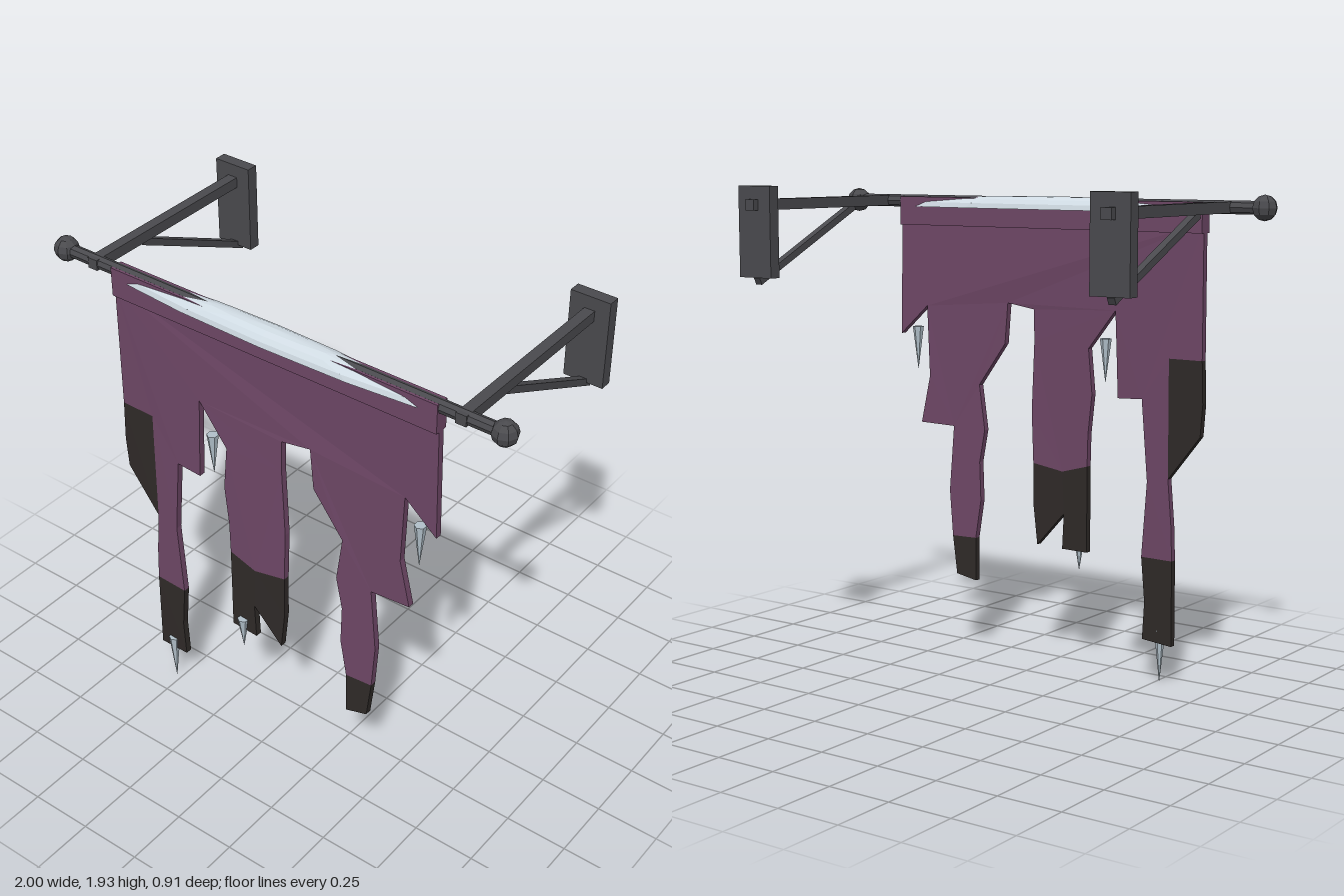
import * as THREE from 'three';

const mat = (name, color, side = THREE.FrontSide) => {
  const m = new THREE.MeshStandardMaterial({ color, side, flatShading: true });
  m.name = name;
  return m;
};

const ROD_Y = 1.858, ROD_Z = 0.38;

// Cloth panel: extruded outline whose lower part sways forward or back
function clothPanel(points) {
  const shape = new THREE.Shape(points.map(([x, y]) => new THREE.Vector2(x, y)));
  const depth = 0.026;
  const geo = new THREE.ExtrudeGeometry(shape, { depth, bevelEnabled: false });
  const p = geo.attributes.position;
  for (let i = 0; i < p.count; i++) {
    const x = p.getX(i), y = p.getY(i);
    const sway = 0.03 - Math.abs(x + 0.05) * (x > -0.05 ? 0.068 : 0.032);
    p.setZ(i, p.getZ(i) - depth / 2 + ROD_Z + Math.max(0, 1.8 - y) * sway);
  }
  geo.computeVertexNormals();
  return geo;
}

export function createModel() {
  const metal = mat('dark iron', 0x4a4a4e);
  const purple = mat('purple cloth', 0x6e4766);
  const charred = mat('charred cloth', 0x2f2a28);
  const snow = mat('snow', 0xd0dbe3, THREE.DoubleSide);
  const ice = mat('ice', 0xb2c0ca);

  const model = new THREE.Group();
  model.name = 'tatteredBanner';
  const add = (name, geo, material, x = 0, y = 0, z = 0, parent = model) => {
    const m = new THREE.Mesh(geo, material);
    m.name = name;
    m.position.set(x, y, z);
    parent.add(m);
    return m;
  };
  const box = (w, h, d) => new THREE.BoxGeometry(w, h, d);

  // Rod with ball ends
  add('rod', new THREE.CylinderGeometry(0.025, 0.025, 1.9, 8), metal, 0, ROD_Y, ROD_Z)
    .rotation.z = Math.PI / 2;

  // Wall brackets, mirrored
  for (const s of [-1, 1]) {
    add('rodBall', new THREE.SphereGeometry(0.048, 8, 6), metal, s * 0.952, ROD_Y, ROD_Z);
    const bracket = new THREE.Group();
    bracket.name = s > 0 ? 'leftBracket' : 'rightBracket';
    bracket.position.x = s * 0.8;
    model.add(bracket);
    add('wallPlate', box(0.16, 0.35, 0.048), metal, 0, 1.755, -0.405, bracket);
    add('arm', box(0.042, 0.042, 0.862), metal, 0, ROD_Y, -0.024, bracket);
    const a = new THREE.Vector3(0, 1.838, 0.15), b = new THREE.Vector3(0, 1.565, -0.415);
    const brace = add('brace', box(0.03, 0.027, a.distanceTo(b)), metal, 0, 0, 0, bracket);
    brace.position.copy(a).add(b).multiplyScalar(0.5);
    brace.rotation.x = -Math.atan2(a.y - b.y, a.z - b.z);
  }

  // Sleeve of cloth folded over the rod
  add('headerBand', box(1.42, 0.115, 0.055), purple, 0, 1.818, ROD_Z);

  // Torn purple cloth
  add('cloth', clothPanel([
    [-0.71, 1.8], [-0.71, 1.285], [-0.565, 1.285], [-0.565, 0.82], [-0.58, 0.64],
    [-0.585, 0.5], [-0.445, 0.5], [-0.47, 0.8], [-0.445, 1.12], [-0.335, 1.115],
    [-0.33, 1.3], [-0.325, 1.455], [-0.2, 1.3], [-0.215, 1.12], [-0.195, 0.96],
    [-0.19, 0.83], [-0.07, 0.797], [0.065, 0.82], [0.07, 1.03], [0.055, 1.31],
    [0.055, 1.44], [0.18, 1.46], [0.195, 1.295], [0.32, 1.12], [0.295, 0.935],
    [0.32, 0.8], [0.315, 0.64], [0.34, 0.48], [0.45, 0.48], [0.465, 0.67],
    [0.445, 0.94], [0.605, 0.945], [0.565, 1.14], [0.58, 1.43], [0.71, 1.31], [0.71, 1.8],
  ]), purple);

  // Burnt ends of the strips
  const burnt = {
    charredSide: [[-0.71, 1.285], [-0.715, 1.12], [-0.705, 0.995], [-0.565, 0.82], [-0.565, 1.285]],
    charredRightEnd: [[-0.585, 0.5], [-0.585, 0.16], [-0.45, 0.17], [-0.46, 0.32], [-0.445, 0.5]],
    charredMiddleEnd: [[-0.19, 0.83], [-0.185, 0.48], [-0.065, 0.48], [-0.075, 0.625],
      [0.05, 0.485], [0.065, 0.64], [0.065, 0.82], [-0.07, 0.797]],
    charredLeftEnd: [[0.34, 0.48], [0.34, 0.3], [0.43, 0.32], [0.45, 0.48]],
  };
  for (const [name, pts] of Object.entries(burnt)) add(name, clothPanel(pts), charred);

  // Snow drift lying along the rod
  const drift = new THREE.SphereGeometry(1, 12, 4, 0, Math.PI * 2, 0, Math.PI / 2);
  drift.scale(0.72, 0.052, 0.062);
  add('snowDrift', drift, snow, 0, 1.835, ROD_Z);

  // Icicles: x, tip y, length, z
  for (const [x, y, h, z] of [
    [-0.26, 1.165, 0.175, 0.41], [0.645, 1.16, 0.18, 0.385],
    [-0.13, 0.395, 0.14, 0.432], [-0.52, 0, 0.215, 0.413],
  ]) {
    const cone = new THREE.ConeGeometry(0.023, h, 6);
    cone.rotateX(Math.PI);
    add('icicle', cone, ice, x, y + h / 2, z);
  }
  return model;
}
